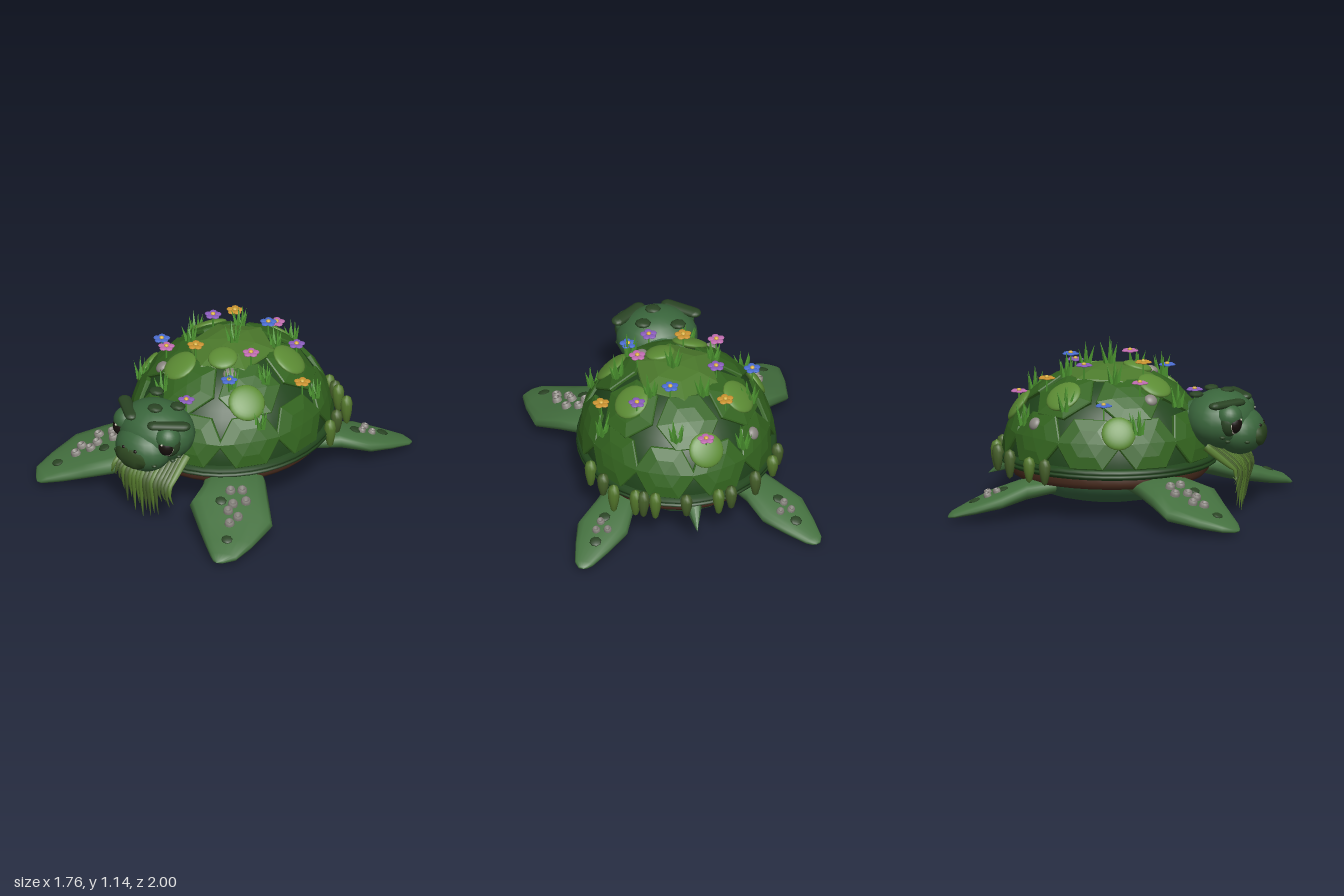
import * as THREE from 'three';

const C = {
  skin: 0x44703f, head: 0x3a663c, belly: 0x3a6a44, dark: 0x2a4424, shell: 0x21451c, plate: 0x33641f,
  top: 0x4c7a2c, moss: 0x5c8c34, vine: 0x54782c, vineDark: 0x46602a, brown: 0x4a2c1e, grey: 0x8a8680,
  white: 0xcfc8b8, pupil: 0x17100d, beak: 0x2f4a22, grass: 0x4c9430,
};
const V = (x, y, z) => new THREE.Vector3(x, y, z);
const UP = V(0, 1, 0);

let seed = 7;
const rnd = () => (seed = (seed * 16807) % 2147483647) / 2147483647;

const mats = {};
function mat(color, flat = false) {
  return (mats[color + '-' + flat] ??= new THREE.MeshStandardMaterial({ color, flatShading: flat, side: THREE.DoubleSide }));
}
function add(parent, name, geo, color, pos = [0, 0, 0], scale = [1, 1, 1], flat = false) {
  const m = new THREE.Mesh(geo, mat(color, flat));
  m.name = name;
  m.position.set(...pos);
  m.scale.set(...scale);
  parent.add(m);
  return m;
}
const ball = new THREE.SphereGeometry(1, 20, 14);
const pebble = new THREE.SphereGeometry(1, 8, 6);
const lathe = (pts, n = 40) => new THREE.LatheGeometry(pts.map(p => new THREE.Vector2(...p)), n);

// Shell ellipsoid
const R = V(0.655, 0.615, 0.71), Y0 = 0.37, Z0 = -0.08;
function onDome(x, z) {
  const h = Math.sqrt(Math.max(0.01, 1 - (x / R.x) ** 2 - ((z - Z0) / R.z) ** 2));
  return V(x, Y0 + R.y * h, z);
}
const domeNormal = p => V(p.x / R.x ** 2, (p.y - Y0) / R.y ** 2, (p.z - Z0) / R.z ** 2).normalize();

// Hexagonal plate bent onto the shell
function plate(parent, az, el, size, color) {
  const n = V(Math.cos(el) * Math.cos(az), Math.sin(el), Math.cos(el) * Math.sin(az));
  const t1 = V(-Math.sin(az), 0, Math.cos(az)), t2 = t1.clone().cross(n);
  const prof = [[1, -0.05], [1, 0], [0.96, 0.01], [0.5, 0.012], [0, 0.012]].map(p => new THREE.Vector2(...p));
  const g = new THREE.LatheGeometry(prof, 6, Math.PI / 6);
  const p = g.attributes.position;
  for (let i = 0; i < p.count; i++) {
    const v = n.clone().addScaledVector(t1, p.getX(i) * size).addScaledVector(t2, p.getZ(i) * size);
    v.normalize().multiplyScalar(1 + p.getY(i)).multiply(R);
    p.setXYZ(i, v.x, v.y + Y0, v.z + Z0);
  }
  g.computeVertexNormals();
  add(parent, 'shellPlate', g, color, [0, 0, 0], [1, 1, 1], true);
}

// Flipper lofted through stations [leadX, leadZ, trailX, trailZ, y, halfThickness]
function flipper(parent, name, side, stations, reverse) {
  const N = 16, pos = [], idx = [];
  stations.forEach(([lx, lz, tx, tz, y, t]) => {
    for (let k = 0; k < N; k++) {
      const a = (k / N) * Math.PI * 2, c = Math.cos(a), s = Math.sin(a);
      pos.push(side * ((lx + tx) / 2 + (lx - tx) / 2 * c), y + t * Math.sign(s) * Math.abs(s) ** 0.7, (lz + tz) / 2 + (lz - tz) / 2 * c);
    }
  });
  for (let i = 0; i < stations.length - 1; i++) for (let k = 0; k < N; k++) {
    const a = i * N + k, b = i * N + (k + 1) % N, c = a + N, d = b + N;
    if ((side < 0) !== reverse) idx.push(a, c, b, b, c, d);
    else idx.push(a, b, c, b, d, c);
  }
  const g = new THREE.BufferGeometry();
  g.setAttribute('position', new THREE.Float32BufferAttribute(pos, 3));
  g.setIndex(idx);
  g.computeVertexNormals();
  return add(parent, name, g, C.skin);
}

function tuft(parent, x, z, h) {
  const g = new THREE.Group();
  g.name = 'grassTuft';
  g.position.copy(onDome(x, z));
  for (let i = 0; i < 6; i++) {
    const a = i * 1.257, lean = i ? 0.15 + 0.2 * rnd() : 0, len = h * (i ? 0.6 + 0.35 * rnd() : 1);
    const b = add(g, 'blade', new THREE.ConeGeometry(0.018, len, 4).translate(0, len / 2, 0), C.grass,
      [Math.cos(a) * 0.022, -0.01, Math.sin(a) * 0.022], [1, 1, 1], true);
    b.quaternion.setFromUnitVectors(UP, V(Math.cos(a) * lean, 1, Math.sin(a) * lean).normalize());
  }
  parent.add(g);
}

function flower(parent, x, z, color) {
  const g = new THREE.Group();
  g.name = 'flower';
  g.position.copy(onDome(x, z));
  add(g, 'stem', new THREE.CylinderGeometry(0.006, 0.006, 0.1, 6), C.grass, [0, 0.045, 0]);
  for (let i = 0; i < 5; i++) {
    const a = i * Math.PI * 0.4;
    add(g, 'petal', pebble, color, [Math.sin(a) * 0.033, 0.095, Math.cos(a) * 0.033], [0.026, 0.008, 0.026]);
  }
  add(g, 'flowerCentre', pebble, 0xd8b040, [0, 0.102, 0], [0.016, 0.012, 0.016]);
  parent.add(g);
}

function patch(parent, name, x, z, r, h, color) {
  const p = onDome(x, z);
  const m = add(parent, name, ball, color, p.toArray(), [r, h, r]);
  m.quaternion.setFromUnitVectors(UP, domeNormal(p));
}

// Tapered hanging strand along a bent path
function strand(parent, pts, r) {
  const path = new THREE.CurvePath();
  for (let i = 1; i < pts.length; i++) path.add(new THREE.LineCurve3(pts[i - 1], pts[i]));
  const n = 10, k = 6, g = new THREE.TubeGeometry(path, n, r, k);
  const p = g.attributes.position;
  for (let i = 0; i <= n; i++) {
    const c = path.getPointAt(i / n), f = Math.max(0.03, 1 - (i / n) ** 2.2);
    for (let j = 0; j <= k; j++) {
      const q = i * (k + 1) + j, v = V().fromBufferAttribute(p, q).sub(c).multiplyScalar(f).add(c);
      p.setXYZ(q, v.x, v.y, v.z);
    }
  }
  g.computeVertexNormals();
  add(parent, 'beardStrand', g, rnd() < 0.6 ? C.vine : C.vineDark);
}

export function createModel() {
  const model = new THREE.Group();
  model.name = 'mossyTurtle';

  // Shell, rim, underside
  const shell = new THREE.Group();
  shell.name = 'shell';
  model.add(shell);
  add(shell, 'shellDome', new THREE.SphereGeometry(0.965, 40, 16, 0, Math.PI * 2, 0, Math.PI / 2), C.shell, [0, Y0, Z0], R.toArray());
  for (let i = 0; i < 10; i++) plate(shell, i * Math.PI / 5, 0.33, 0.335, C.plate);
  for (let i = 0; i < 6; i++) plate(shell, -Math.PI / 2 + i * Math.PI / 3, 0.88, 0.34, C.plate);
  plate(shell, 0, Math.PI / 2, 0.5, C.top);
  add(shell, 'shellRim', lathe([[0.58, 0.325], [0.65, 0.33], [0.67, 0.345], [0.668, 0.358], [0.655, 0.363], [0.668, 0.37], [0.668, 0.385], [0.655, 0.4], [0.6, 0.41]]),
    C.shell, [0, 0, Z0], [1, 1, 1.09]);
  add(shell, 'underRim', lathe([[0, 0.24], [0.5, 0.235], [0.59, 0.255], [0.62, 0.29], [0.61, 0.34]]), C.brown, [0, 0, Z0], [1, 1, 1.09]);
  add(model, 'belly', ball, C.belly, [0, 0.27, -0.1], [0.48, 0.205, 0.61]);
  const tail = add(model, 'tail', new THREE.ConeGeometry(0.075, 0.24, 8), C.skin, [0, 0.26, -0.8]);
  tail.quaternion.setFromUnitVectors(UP, V(0, -0.5, -0.85).normalize());

  // Growth on the shell
  const growth = new THREE.Group();
  growth.name = 'shellGrowth';
  model.add(growth);
  [[-0.1, -0.67, 0.12], [-0.38, -0.3, 0.125], [0.34, -0.28, 0.125], [-0.15, 0.27, 0.12], [-0.56, 0.12, 0.115], [0.39, 0.22, 0.125], [0.08, 0.1, 0.1]]
    .forEach(([x, z, r]) => patch(growth, 'mossPatch', x, z, r, 0.032, C.moss));
  [[-0.45, -0.48], [-0.3, 0.28], [0.2, 0.17]].forEach(([x, z]) => patch(growth, 'stone', x, z, 0.045, 0.03, C.grey));
  [[-0.37, -0.58], [0.09, -0.61], [-0.47, -0.27], [-0.14, -0.34], [0.21, -0.29], [0.54, -0.31], [0.02, -0.08], [-0.27, 0.02],
    [0.38, 0.02], [-0.51, 0.24], [0.51, 0.22], [-0.17, 0.43], [0.26, 0.22]].forEach(([x, z], i) => tuft(growth, x, z, i === 6 ? 0.2 : 0.17));
  const [pink, orange, blue, purple] = [0xc06cb0, 0xcc9430, 0x4a6cd0, 0x8a5cbc];
  [[-0.1, -0.67, pink], [-0.27, -0.44, orange], [0.09, -0.36, blue], [0.32, -0.38, purple], [-0.25, -0.19, purple], [0.53, -0.19, orange],
    [-0.53, 0.01, blue], [0.25, 0.01, pink], [-0.32, 0.21, pink], [-0.09, 0.18, orange], [0.27, 0.26, blue], [0.09, 0.49, purple]]
    .forEach(f => flower(growth, ...f));
  // Pods hanging over the rear rim
  const pod = lathe([[0, -0.11], [0.02, -0.09], [0.036, -0.02], [0.041, 0.04], [0.03, 0.08], [0, 0.1]], 10);
  [[-0.25, -0.78], [-0.16, -0.81], [0.06, -0.82], [0.265, -0.785], [0.34, -0.755], [0.39, -0.73], [-0.435, -0.655], [-0.58, -0.49],
    [-0.635, -0.37], [0.525, -0.655], [0.57, -0.5], [0.63, -0.36]].forEach(([x, z], i) =>
    add(growth, 'hangingMoss', pod, i % 2 ? C.vine : C.vineDark, [x, 0.37, z], [1, 0.85 + 0.25 * rnd(), 1]));

  // Flippers with barnacles and spots
  const front = [[0.44, 0.14, 0.2, 0.42, 0.255, 0.05], [0.58, 0.25, 0.3, 0.57, 0.255, 0.072], [0.72, 0.38, 0.33, 0.74, 0.21, 0.072],
    [0.86, 0.51, 0.5, 0.85, 0.15, 0.058], [0.88, 0.74, 0.62, 0.925, 0.11, 0.045], [0.875, 0.9, 0.71, 0.98, 0.085, 0.03],
    [0.82, 0.97, 0.75, 0.997, 0.07, 0.015], [0.785, 1, 0.785, 1, 0.065, 0]];
  const rear = [[0.5, -0.32, 0.28, -0.46, 0.23, 0.05], [0.62, -0.49, 0.38, -0.61, 0.21, 0.062], [0.765, -0.63, 0.455, -0.79, 0.16, 0.052],
    [0.81, -0.8, 0.6, -0.905, 0.115, 0.037], [0.835, -0.94, 0.72, -0.99, 0.08, 0.02], [0.82, -0.985, 0.76, -0.999, 0.068, 0.01], [0.79, -1, 0.79, -1, 0.065, 0]];
  const barnacle = lathe([[0.036, -0.02], [0.033, 0.01], [0.027, 0.026], [0.018, 0.028], [0.014, 0.01], [0, 0.008]], 10);
  const ray = new THREE.Raycaster();
  for (const side of [1, -1]) {
    const f = flipper(model, 'frontFlipper', side, front, false), r = flipper(model, 'rearFlipper', side, rear, true);
    const stick = (mesh, name, list, geo, color, scale) => list.forEach(([x, z]) => {
      ray.set(V(side * x, 2, z), V(0, -1, 0));
      const hit = ray.intersectObject(mesh)[0];
      if (!hit) return;
      const m = add(model, name, geo, color, hit.point.toArray(), scale);
      m.quaternion.setFromUnitVectors(UP, hit.face.normal);
    });
    stick(f, 'barnacle', [[0.565, 0.475], [0.64, 0.525], [0.51, 0.53], [0.59, 0.6], [0.68, 0.655], [0.6, 0.66], [0.67, 0.73]], barnacle, C.grey, [1, 1.1, 1]);
    stick(r, 'barnacle', [[0.585, -0.77], [0.66, -0.755], [0.62, -0.7]], barnacle, C.grey, [0.8, 0.9, 0.8]);
    stick(f, 'flipperSpot', [[0.51, 0.63], [0.74, 0.84]], pebble, C.dark, [0.04, 0.012, 0.036]);
    stick(r, 'flipperSpot', [[0.68, -0.84], [0.59, -0.67]], pebble, C.dark, [0.04, 0.012, 0.04]);
  }

  // Head
  const head = new THREE.Group();
  head.name = 'head';
  model.add(head);
  const neck = add(head, 'neck', new THREE.CylinderGeometry(0.17, 0.2, 0.35, 16), C.head, [0, 0.58, 0.5]);
  neck.rotation.x = 1.3;
  add(head, 'cranium', ball, C.head, [0, 0.65, 0.69], [0.275, 0.2, 0.235]);
  add(head, 'snout', ball, C.head, [0, 0.58, 0.825], [0.205, 0.16, 0.165]);
  add(head, 'beak', new THREE.SphereGeometry(1, 6, 6), C.beak, [0, 0.562, 0.965], [0.135, 0.08, 0.034]);
  [[-0.12, 0.835, 0.55], [0.11, 0.835, 0.6], [0.02, 0.845, 0.73]].forEach(p => add(head, 'headSpot', pebble, C.dark, p, [0.055, 0.02, 0.05]));
  for (const s of [1, -1]) {
    add(head, 'eyeSocket', ball, C.dark, [s * 0.182, 0.668, 0.785], [0.088, 0.1, 0.075]);
    add(head, 'eye', ball, C.white, [s * 0.186, 0.665, 0.797], [0.076, 0.085, 0.074]);
    add(head, 'iris', ball, C.pupil, [s * 0.196, 0.665, 0.822], [0.06, 0.07, 0.058]);
    add(head, 'glint', pebble, C.white, [s * 0.2, 0.695, 0.876], [0.008, 0.008, 0.008]);
    const lid = add(head, 'eyelid', new THREE.SphereGeometry(0.088, 18, 8, 0, Math.PI * 2, 0, Math.PI / 2), C.head, [s * 0.18, 0.705, 0.79]);
    lid.rotation.set(0.15, 0, -s * 0.25);
    const brow = add(head, 'brow', new THREE.CapsuleGeometry(0.046, 0.2, 4, 10).rotateX(Math.PI / 2), C.dark, [s * 0.178, 0.79, 0.775], [1, 0.55, 1]);
    brow.rotation.y = -s * 0.92;
    add(head, 'nostril', pebble, C.pupil, [s * 0.05, 0.63, 0.972], [0.014, 0.012, 0.012]);
    [[0.252, 0.575, 0.76], [0.225, 0.545, 0.79], [0.165, 0.535, 0.91]].forEach(([x, y, z]) =>
      add(head, 'cheekSpot', pebble, C.dark, [s * x, y, z], [0.018, 0.012, 0.02]));
  }

  // Moss beard: strands run forward under the chin, then hang down
  const beard = new THREE.Group();
  beard.name = 'beard';
  model.add(beard);
  for (let i = 0; i < 17; i++) {
    const u = (i - 8) / 8, x = u * 0.22;
    const tip = i === 8 ? 0.03 : 0.01 + 0.2 * u * u + 0.12 * rnd();
    strand(beard, [V(x, 0.5, 0.64), V(x * 1.1, 0.36, 0.845), V(x * 1.15, 0.29, 0.855), V(x * 1.2, tip, 0.83)], 0.027);
  }
  return model;
}
